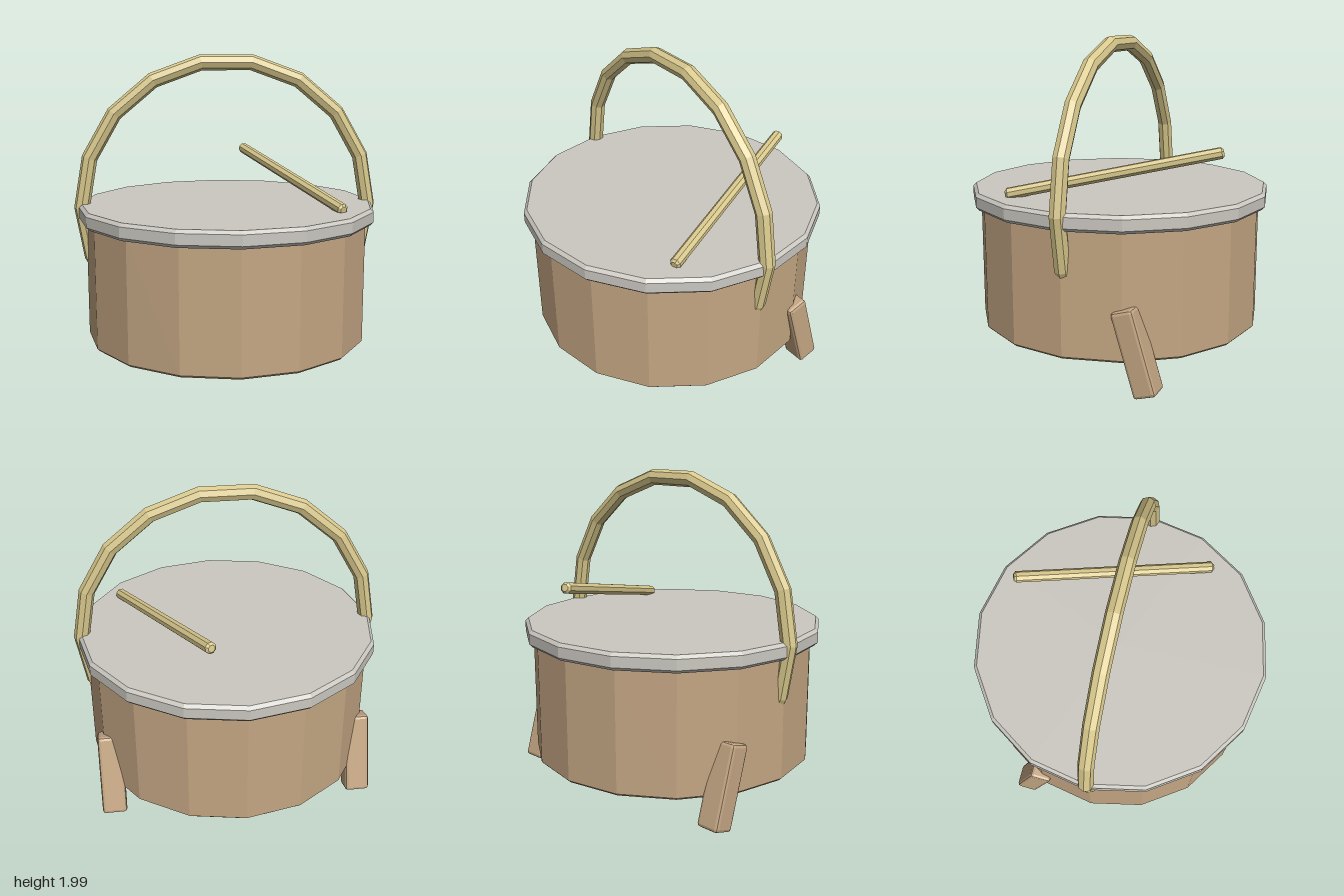
import * as THREE from 'three';
import { RoundedBoxGeometry } from 'three/addons/geometries/RoundedBoxGeometry.js';

function material(name, color) {
  const m = new THREE.MeshStandardMaterial({ color, flatShading: true });
  m.name = name;
  return m;
}

// Closed solid of revolution with chamfered ends
function chamferedCylinder(radius, bottom, top, chamfer, sides) {
  const points = [
    [0, bottom], [radius - chamfer, bottom], [radius, bottom + chamfer],
    [radius, top - chamfer], [radius - chamfer, top], [0, top],
  ].map(([r, y]) => new THREE.Vector2(r, y));
  return new THREE.LatheGeometry(points, sides);
}

export function createModel() {
  const model = new THREE.Group();
  model.name = 'drum';

  const wood = material('brown wood', 0xc4a683);
  const skin = material('grey drumhead', 0xcbc8c1);
  const cane = material('pale cane', 0xd9c98d);

  const add = (name, geometry, mat) => {
    const mesh = new THREE.Mesh(geometry, mat);
    mesh.name = name;
    model.add(mesh);
    return mesh;
  };

  // Sixteen-sided shell and overhanging head
  add('shell', chamferedCylinder(0.9, 0.195, 0.99, 0.015, 16), wood);
  add('drumhead', chamferedCylinder(0.95, 0.96, 1.065, 0.02, 16), skin);

  // Hoop handle, passing through the shell and out below it
  add('hoopHandle', new THREE.TorusGeometry(0.925, 0.05, 8, 18), cane).position.y = 1.04;

  // Drumstick leaning up from the head
  const start = new THREE.Vector3(0.665, 1.08, 0.47);
  const end = new THREE.Vector3(0.185, 1.332, -0.735);
  const axis = end.clone().sub(start);
  const length = axis.length();
  const stick = add('drumstick', chamferedCylinder(0.036, 0, length, 0.014, 8), cane);
  stick.position.copy(start);
  stick.quaternion.setFromUnitVectors(new THREE.Vector3(0, 1, 0), axis.normalize());

  // Two slanted legs at the back
  for (const [name, side] of [['leftLeg', 1], ['rightLeg', -1]]) {
    const leg = add(name, new RoundedBoxGeometry(0.155, 0.515, 0.14, 1, 0.02), wood);
    leg.position.set(side * 0.795, 0.27, -0.423);
    leg.rotation.x = 0.29;
  }

  return model;
}
